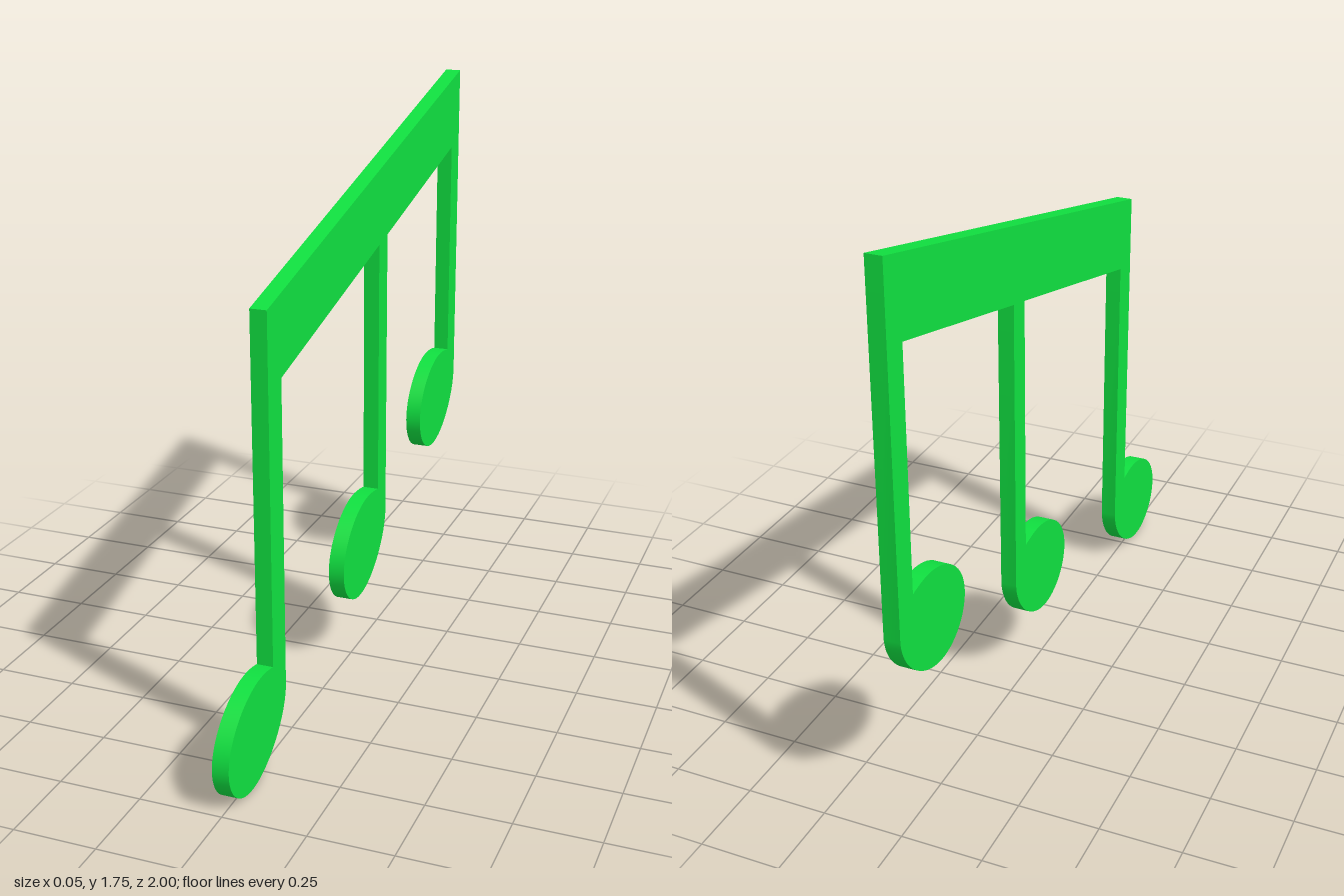
import * as THREE from 'three';
import { toCreasedNormals } from 'three/addons/utils/BufferGeometryUtils.js';

const THICKNESS = 0.05;

// Each note: stem left and right edges, underside of its head, head width,
// and the height where each stem edge meets the beam
const NOTES = [
  { left: -0.69, right: -0.6, base: 0, width: 0.4, topLeft: 1.355, topRight: 1.14 },
  { left: 0.183, right: 0.258, base: 0.204, width: 0.388, topLeft: 1.325, topRight: 1.341 },
  { left: 0.92, right: 1, base: 0.46, width: 0.388, topLeft: 1.498, topRight: 1.75 },
];

// Down the stem's left edge, around the tilted oval head, back up the right edge
function traceNote(shape, { left, right, base, width, topLeft, topRight }) {
  const x = (t) => right - t * width;
  const y = (h) => base + h;
  shape.lineTo(left, topLeft);
  shape.lineTo(left, y(0.306));
  shape.bezierCurveTo(left - 0.025, y(0.313), x(0.36), y(0.317), x(0.42), y(0.317));
  shape.bezierCurveTo(x(0.72), y(0.317), x(1), y(0.23), x(1), y(0.137));
  shape.bezierCurveTo(x(1), y(0.06), x(0.83), y(0), x(0.61), y(0));
  shape.bezierCurveTo(x(0.33), y(0), x(0.02), y(0.1), x(0), y(0.2));
  shape.lineTo(right, topRight);
}

export function createModel() {
  const group = new THREE.Group();
  group.name = 'beamedNotes';

  // One continuous outline: three notes joined by the slanted beam
  const outline = new THREE.Shape();
  outline.moveTo(NOTES[0].left, NOTES[0].topLeft);
  NOTES.forEach((note) => traceNote(outline, note));
  outline.closePath();

  const extruded = new THREE.ExtrudeGeometry(outline, {
    depth: THICKNESS,
    bevelEnabled: false,
    curveSegments: 14,
  });
  extruded.translate(0, 0, -THICKNESS / 2);
  extruded.rotateY(Math.PI / 2); // stand the plate in the y-z plane

  const material = new THREE.MeshStandardMaterial({ color: 0x10e040 });
  const plate = new THREE.Mesh(toCreasedNormals(extruded, Math.PI / 6), material);
  plate.name = 'notesAndBeam';
  group.add(plate);
  return group;
}
